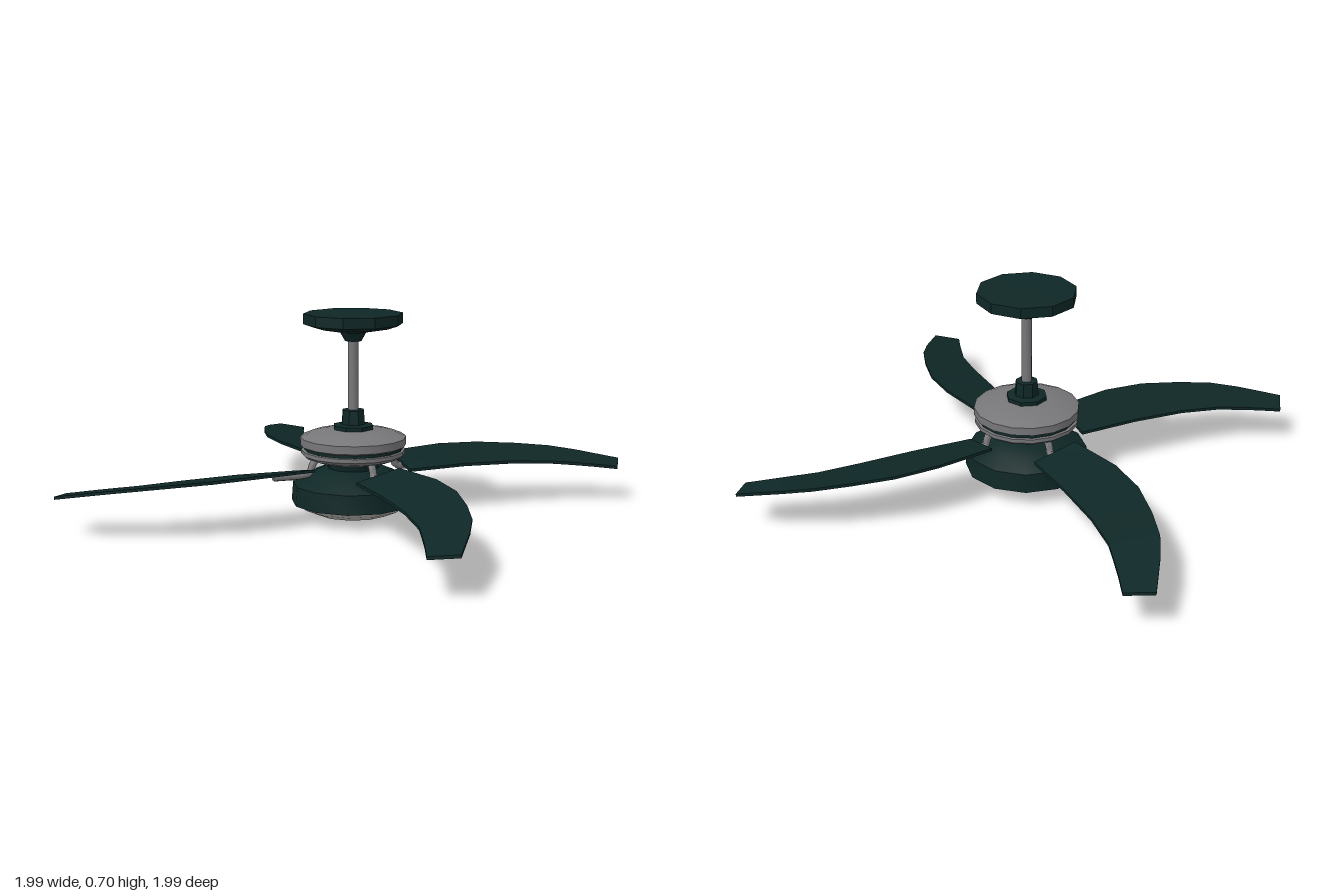
import * as THREE from 'three';
import { toCreasedNormals } from 'three/addons/utils/BufferGeometryUtils.js';

const mat = (name, color) => new THREE.MeshStandardMaterial({ name, color });

export function createModel() {
  const green = mat('dark green', 0x0e2726);
  const metal = mat('grey metal', 0x77777a);
  const glass = mat('frosted glass', 0xb4b2ae);
  const fan = new THREE.Group();
  fan.name = 'ceilingFan';

  const add = (parent, name, geometry, material, crease = 0.6) => {
    const mesh = new THREE.Mesh(toCreasedNormals(geometry, crease), material);
    mesh.name = name;
    parent.add(mesh);
    return mesh;
  };
  // Turned part: profile of [radius, y] from bottom to top
  const turned = (name, profile, sides, material, crease) =>
    add(fan, name, new THREE.LatheGeometry(profile.map(p => new THREE.Vector2(...p)), sides), material, crease);

  // Ceiling mount and rod
  turned('canopy', [[0, 0.61], [0.028, 0.61], [0.045, 0.64], [0.13, 0.655], [0.168, 0.668], [0.168, 0.703], [0, 0.705]], 10, green);
  turned('downRod', [[0.018, 0.36], [0.018, 0.63]], 10, metal, 1);
  turned('rodCollar', [[0.07, 0.305], [0.07, 0.324], [0.042, 0.328], [0.038, 0.376], [0, 0.378]], 8, green);

  // Motor housing with a dark groove
  turned('motorTop', [[0.165, 0.25], [0.18, 0.257], [0.18, 0.284], [0.145, 0.298], [0.09, 0.31], [0, 0.314]], 16, metal);
  turned('motorGroove', [[0.168, 0.236], [0.168, 0.254]], 16, green);
  turned('motorBase', [[0, 0.205], [0.13, 0.205], [0.165, 0.217], [0.177, 0.227], [0.177, 0.24], [0.16, 0.243]], 16, metal);

  // Light kit
  turned('lightNeck', [[0.085, 0.165], [0.095, 0.21]], 12, green, 1);
  turned('lightHousing', [[0.195, 0.06], [0.212, 0.06], [0.207, 0.125], [0.15, 0.157], [0.1, 0.178], [0, 0.18]], 12, green);
  turned('lightBowl', [[0, 0.004], [0.07, 0.008], [0.13, 0.022], [0.175, 0.042], [0.2, 0.062]], 12, glass, 1);

  // Blade stations: trailing edge [x, y, z], leading edge [x, y, z]
  const stations = [
    [[0.18, 0.197, -0.085], [0.18, 0.162, 0.072]],
    [[0.39, 0.2, -0.112], [0.39, 0.165, 0.083]],
    [[0.54, 0.195, -0.102], [0.58, 0.16, 0.098]],
    [[0.68, 0.186, -0.06], [0.72, 0.151, 0.123]],
    [[0.79, 0.176, -0.015], [0.79, 0.145, 0.15]],
    [[0.87, 0.164, 0.037], [0.86, 0.138, 0.178]],
    [[0.995, 0.14, 0.135], [0.937, 0.129, 0.212]],
  ];
  const last = stations.length - 1;
  const bladeGeometry = new THREE.BoxGeometry(1, 1, 1, last, 1, 1);
  const pos = bladeGeometry.attributes.position;
  for (let i = 0; i < pos.count; i++) {
    const station = stations[Math.round((pos.getX(i) + 0.5) * last)];
    const [x, y, z] = station[pos.getZ(i) < 0 ? 0 : 1];
    pos.setXYZ(i, x, y + pos.getY(i) * 0.01, z);
  }

  // Bracket bends down from the motor and runs under the blade
  const armPath = new THREE.CatmullRomCurve3([
    [0.14, 0.215, 0], [0.153, 0.195, 0], [0.16, 0.172, 0], [0.185, 0.166, 0], [0.285, 0.167, 0],
  ].map(p => new THREE.Vector3(...p)));
  const armGeometry = new THREE.TubeGeometry(armPath, 12, 0.013, 8);

  for (let k = 0; k < 4; k++) {
    const unit = new THREE.Group();
    unit.name = 'bladeUnit' + (k + 1);
    unit.rotation.y = k * Math.PI / 2;
    add(unit, 'blade', bladeGeometry, green);
    add(unit, 'bladeArm', armGeometry, metal, 1);
    const cap = add(unit, 'armEnd', new THREE.SphereGeometry(0.013, 8, 6), metal, 1);
    cap.position.set(0.285, 0.167, 0);
    fan.add(unit);
  }
  return fan;
}
